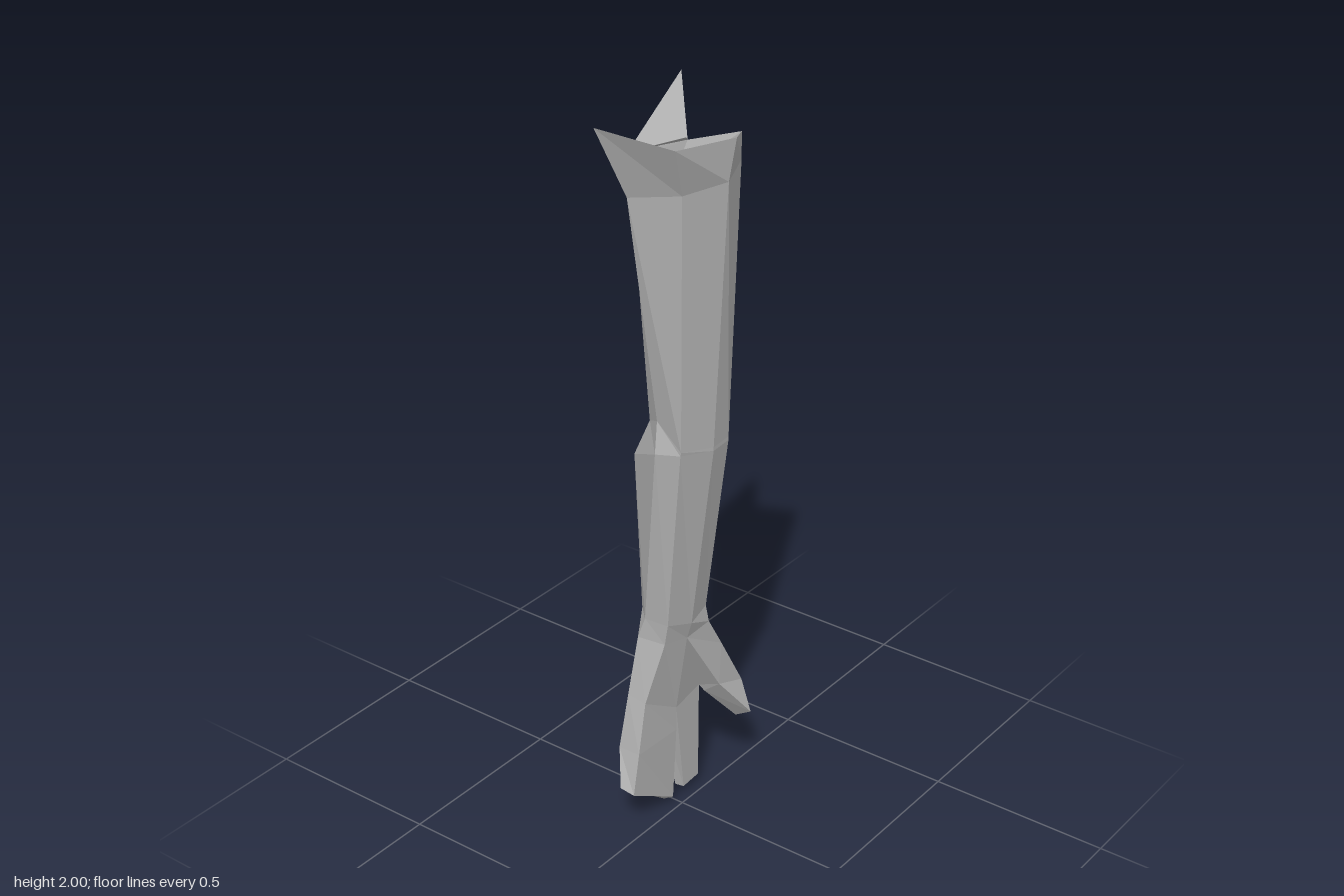
import * as THREE from 'three';

const grey = new THREE.MeshStandardMaterial({ color: 0xb0b0b0, flatShading: true, side: THREE.DoubleSide });
grey.name = 'grey';

// Mesh from a flat list of corner points, three per face
function faceted(name, points) {
  const geometry = new THREE.BufferGeometry();
  geometry.setAttribute('position', new THREE.Float32BufferAttribute(points.flat(), 3));
  geometry.computeVertexNormals();
  const mesh = new THREE.Mesh(geometry, grey);
  mesh.name = name;
  return mesh;
}

// Skin between rings listed from top to bottom, each running front, left, back, right
function loft(name, rings, closeEnd = false) {
  const pts = [];
  for (let i = 0; i < rings.length - 1; i++) {
    const a = rings[i], b = rings[i + 1], n = a.length;
    for (let j = 0; j < n; j++) {
      const k = (j + 1) % n;
      pts.push(a[j], b[j], b[k], a[j], b[k], a[k]);
    }
  }
  if (closeEnd) {
    const e = rings[rings.length - 1];
    for (let j = 1; j < e.length - 1; j++) pts.push(e[0], e[j + 1], e[j]);
  }
  return faceted(name, pts);
}

export function createModel() {
  const arm = new THREE.Group();
  arm.name = 'arm';

  // Six-sided rings down the arm
  const crown = [[-0.1, 1.96, 0.205], [0.108, 1.94, 0.17], [0.135, 1.92, -0.03],
    [0.088, 1.9, -0.115], [-0.06, 1.85, -0.1], [-0.14, 1.84, 0.03]];
  const shoulder = [[-0.055, 1.78, 0.142], [0.088, 1.81, 0.118], [0.135, 1.82, 0],
    [0.088, 1.83, -0.115], [-0.075, 1.76, -0.06], [-0.137, 1.82, 0.03]];
  const elbow = [[-0.01, 1.19, 0.09], [0.07, 1.13, 0.098], [0.104, 1.12, 0.01],
    [0.098, 1.12, -0.06], [-0.07, 1.15, 0.015], [-0.075, 1.15, 0.035]];
  const elbowTip = [[0, 1.11, 0.112], [0.068, 1.12, 0.098], [0.104, 1.11, 0.01],
    [0.098, 1.11, -0.06], [-0.118, 1.03, 0.005], [-0.125, 1.04, 0.035]];
  const wrist = [[-0.06, 0.6, 0.08], [0.01, 0.6, 0.075], [0.03, 0.58, 0],
    [0.025, 0.6, -0.068], [-0.085, 0.59, 0], [-0.1, 0.6, 0.04]];
  const handBase = [[-0.08, 0.54, 0.085], [0, 0.54, 0.075], [0.015, 0.53, 0],
    [0.03, 0.55, -0.075], [-0.08, 0.53, -0.03], [-0.095, 0.55, 0.04]];
  const knuckles = [[-0.085, 0.38, 0.122], [-0.03, 0.37, 0.12], [-0.02, 0.3, 0],
    [-0.02, 0.32, -0.1], [-0.1, 0.36, -0.1], [-0.13, 0.4, 0.03]];

  // Torn shoulder opening with a spike and a folded flap
  arm.add(loft('tornShoulderEdge', [crown, shoulder]));
  arm.add(faceted('shoulderSpike', [crown[4], [-0.115, 2, -0.148], crown[5]]));
  arm.add(faceted('shoulderFlap', [
    crown[4], [-0.04, 1.87, -0.068], crown[5],
    crown[3], [0.057, 1.87, -0.125], shoulder[3],
    [0.057, 1.87, -0.125], crown[4], shoulder[3],
  ]));

  arm.add(loft('upperArm', [shoulder, elbow]));
  arm.add(loft('elbow', [elbow, elbowTip]));
  arm.add(loft('forearm', [elbowTip, wrist]));
  arm.add(loft('palm', [wrist, handBase, knuckles], true));

  // Wide group of front fingers
  arm.add(loft('frontFingers', [
    [knuckles[0], knuckles[1], knuckles[2], [-0.12, 0.38, 0], knuckles[5]],
    [[-0.09, 0.23, 0.155], [-0.025, 0.23, 0.155], [-0.02, 0.23, 0], [-0.095, 0.23, 0], [-0.1, 0.23, 0.04]],
    [[-0.06, 0.13, 0.19], [-0.02, 0.12, 0.185], [-0.02, 0.02, 0.015], [-0.05, 0, 0.015], [-0.055, 0.04, 0.06]],
  ], true));

  // Narrow rear finger
  arm.add(loft('rearFinger', [
    [[-0.11, 0.37, 0], knuckles[2], knuckles[3], knuckles[4]],
    [[-0.05, 0.02, -0.035], [-0.022, 0.025, -0.035], [-0.022, 0.03, -0.1], [-0.05, 0.025, -0.1]],
  ], true));

  // Thumb spreading backwards
  arm.add(loft('thumb', [
    [handBase[2], handBase[3], [-0.07, 0.46, -0.06], knuckles[3]],
    [[0.04, 0.34, -0.11], [0.035, 0.46, -0.125], [-0.02, 0.39, -0.13], [-0.01, 0.3, -0.11]],
    [[0.08, 0.22, -0.2], [0.045, 0.31, -0.204], [0.016, 0.32, -0.205], [0.03, 0.19, -0.2]],
  ], true));

  return arm;
}
